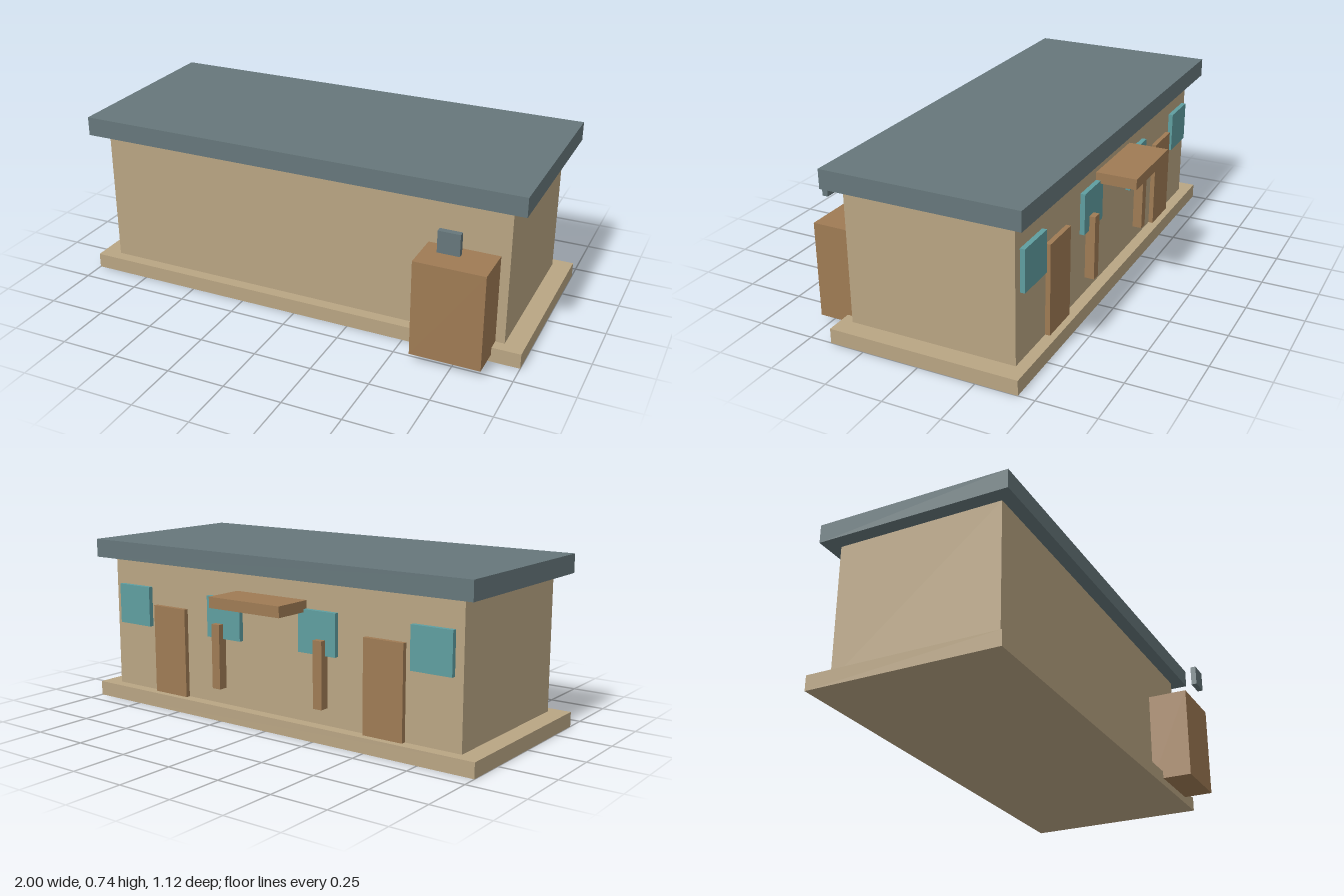
import * as THREE from 'three';

const material = (color) => new THREE.MeshStandardMaterial({ color });

export function createModel() {
  const model = new THREE.Group();
  model.name = 'longHouse';
  const wall = material(0xb9a583);
  const slate = material(0x66777b);
  const wood = material(0x9f7b54);
  const glass = material(0x5f9ea0);

  // Box given by its [min, max] extent along each axis
  function box(name, mat, [x0, x1], [y0, y1], [z0, z1]) {
    const mesh = new THREE.Mesh(new THREE.BoxGeometry(x1 - x0, y1 - y0, z1 - z0), mat);
    mesh.position.set((x0 + x1) / 2, (y0 + y1) / 2, (z0 + z1) / 2);
    mesh.name = name;
    model.add(mesh);
  }
  const span = (centre, width) => [centre - width / 2, centre + width / 2];

  // Main building
  box('plinth', wall, [-1, 1], [0, 0.065], [-0.43, 0.402]);
  box('walls', wall, [-0.917, 0.917], [0.065, 0.66], [-0.38, 0.352]);
  box('roof', slate, [-0.982, 0.982], [0.66, 0.742], [-0.44, 0.411]);

  // Cabinet on the front, with a small panel floating above its edge
  box('cabinet', wood, [0.58, 0.878], [0.032, 0.449], [0.352, 0.534]);
  box('cabinetPanel', slate, [0.686, 0.777], [0.522, 0.613], [0.533, 0.558]);

  // Canopy over the middle of the back wall
  box('canopy', wood, [-0.185, 0.185], [0.527, 0.574], [-0.558, -0.38]);

  // Doors, windows and posts, mirrored along the back wall
  for (const [side, s] of [['left', 1], ['right', -1]]) {
    box(side + 'OuterWindow', glass, span(s * 0.787, 0.185), [0.36, 0.54], [-0.401, -0.38]);
    box(side + 'InnerWindow', glass, span(s * 0.25, 0.185), [0.36, 0.54], [-0.401, -0.38]);
    box(side + 'Door', wood, span(s * 0.571, 0.186), [0.065, 0.462], [-0.401, -0.38]);
    box(side + 'Post', wood, span(s * 0.273, 0.043), [0.141, 0.425], [-0.427, -0.385]);
  }
  return model;
}
